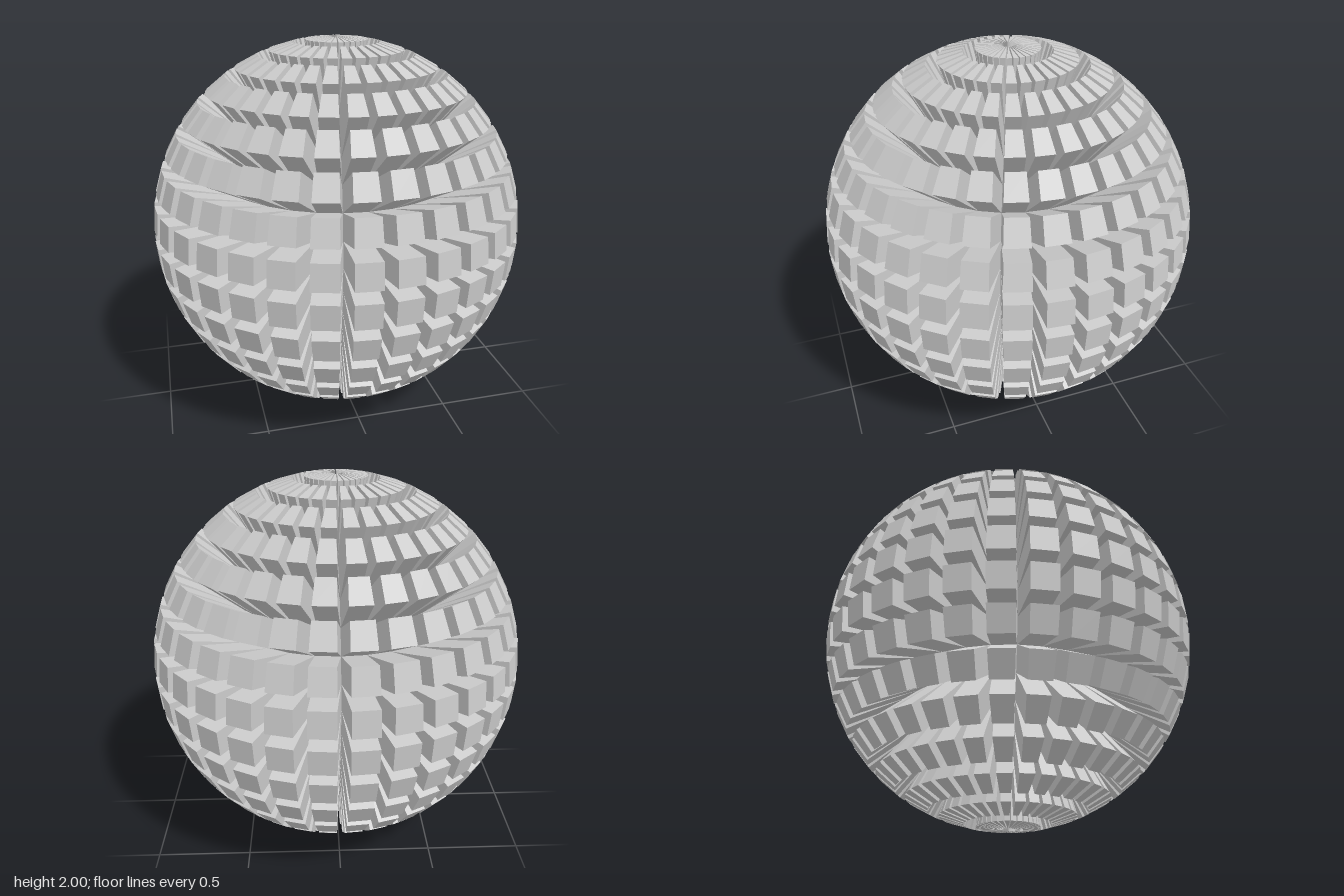
import * as THREE from 'three';

const SEGMENTS = 32;
const RINGS = 16;
const CORE = 0.68; // radius of the core sphere the blocks stand on
const DEPTH = 0.3215; // how far each face is pushed out

// Point on the core sphere for a ring line and a segment line
function corePoint(ring, segment) {
  return new THREE.Vector3().setFromSphericalCoords(
    CORE, (ring / RINGS) * Math.PI, (segment / SEGMENTS) * Math.PI * 2);
}

// Straight-sided block: one sphere face pushed out along its own normal
function addBlock(positions, base) {
  const normal = new THREE.Vector3();
  const n = base.length;
  const u = base[1].clone().sub(base[0]);
  const v = base[n - 1].clone().sub(base[0]);
  normal.crossVectors(u, v).normalize().multiplyScalar(DEPTH);
  const top = base.map((p) => p.clone().add(normal));
  const face = (...points) => points.forEach((p) => positions.push(p.x, p.y, p.z));

  for (let i = 1; i < n - 1; i++) face(top[0], top[i], top[i + 1]);
  for (let i = 0; i < n; i++) {
    const j = (i + 1) % n;
    face(base[i], base[j], top[j]);
    face(base[i], top[j], top[i]);
  }
}

// One horizontal ring of blocks; the rings at the poles have triangular blocks
function ringGeometry(ring) {
  const positions = [];
  for (let s = 0; s < SEGMENTS; s++) {
    const base = [];
    if (ring < RINGS - 1) base.push(corePoint(ring + 1, s), corePoint(ring + 1, s + 1));
    else base.push(new THREE.Vector3(0, -CORE, 0));
    if (ring > 0) base.push(corePoint(ring, s + 1), corePoint(ring, s));
    else base.push(new THREE.Vector3(0, CORE, 0));
    addBlock(positions, base);
  }
  const geometry = new THREE.BufferGeometry();
  geometry.setAttribute('position', new THREE.Float32BufferAttribute(positions, 3));
  geometry.computeVertexNormals();
  return geometry;
}

export function createModel() {
  const model = new THREE.Group();
  model.name = 'blockSphere';
  const material = new THREE.MeshStandardMaterial({
    color: 0xcccccc, flatShading: true, side: THREE.DoubleSide,
  });
  for (let ring = 0; ring < RINGS; ring++) {
    const mesh = new THREE.Mesh(ringGeometry(ring), material);
    mesh.name = ring === 0 ? 'topCap' : ring === RINGS - 1 ? 'bottomCap' : `blockRing${ring}`;
    mesh.position.y = 1;
    model.add(mesh);
  }
  return model;
}
